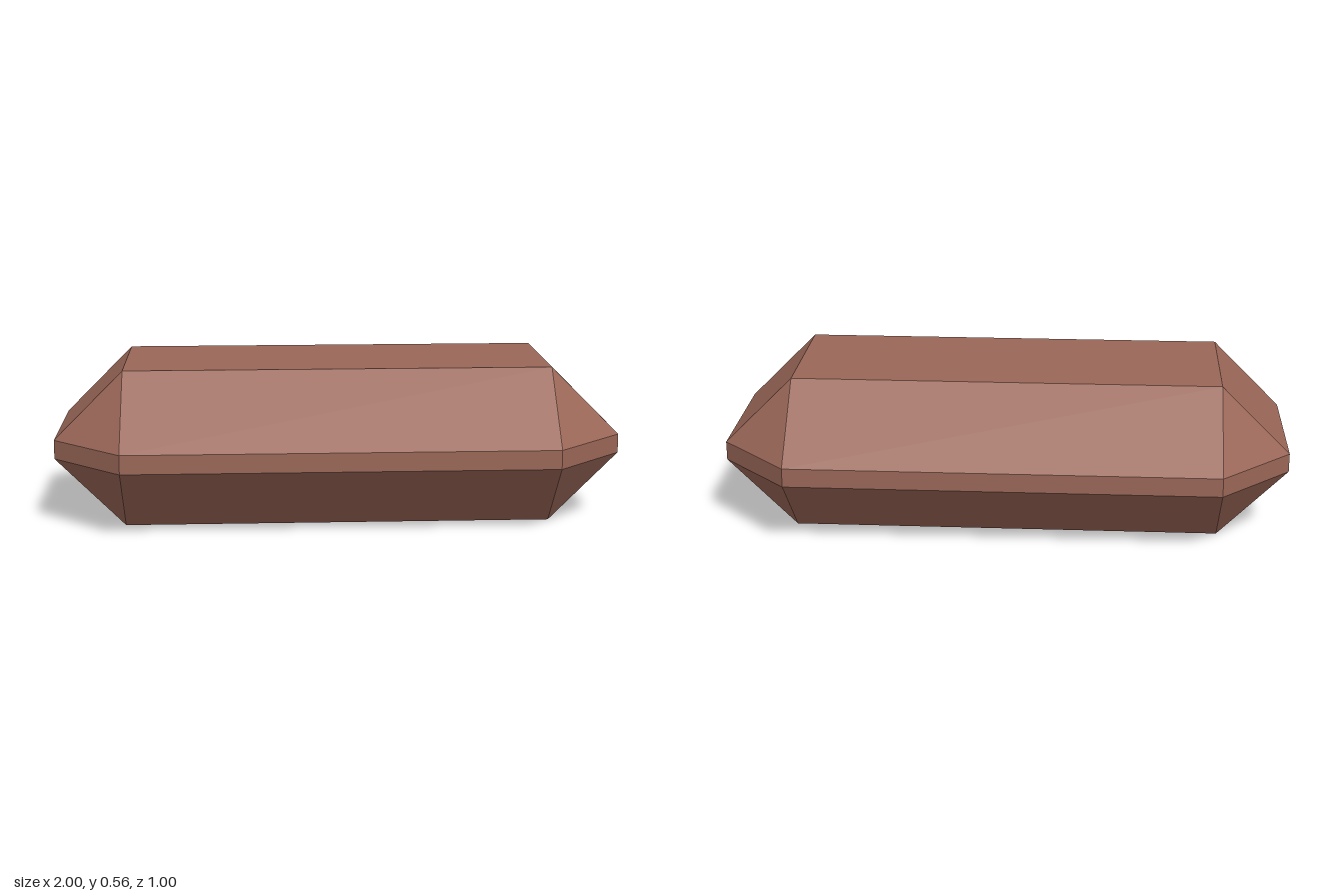
import * as THREE from 'three';
import { ConvexGeometry } from 'three/addons/geometries/ConvexGeometry.js';

export function createModel() {
  const group = new THREE.Group();
  group.name = 'ingot';

  const brown = new THREE.MeshStandardMaterial({ color: 0x9a6758 });
  brown.name = 'reddish brown';

  // A box with every edge cut at 45 degrees
  const halfX = 1, halfZ = 0.5, height = 0.557, cut = 0.245;
  const points = [];
  for (const sx of [-1, 1]) {
    for (const sz of [-1, 1]) {
      const add = (x, y, z) => points.push(new THREE.Vector3(sx * x, y, sz * z));
      for (const [flat, band] of [[0, cut], [height, height - cut]]) {
        add(halfX - cut, flat, halfZ - cut); // corner of the top or bottom face
        add(halfX, band, halfZ - cut);       // corner of the end face
        add(halfX - cut, band, halfZ);       // corner of the long side face
      }
    }
  }

  const body = new THREE.Mesh(new ConvexGeometry(points), brown);
  body.name = 'bevelledBar';
  group.add(body);
  return group;
}
